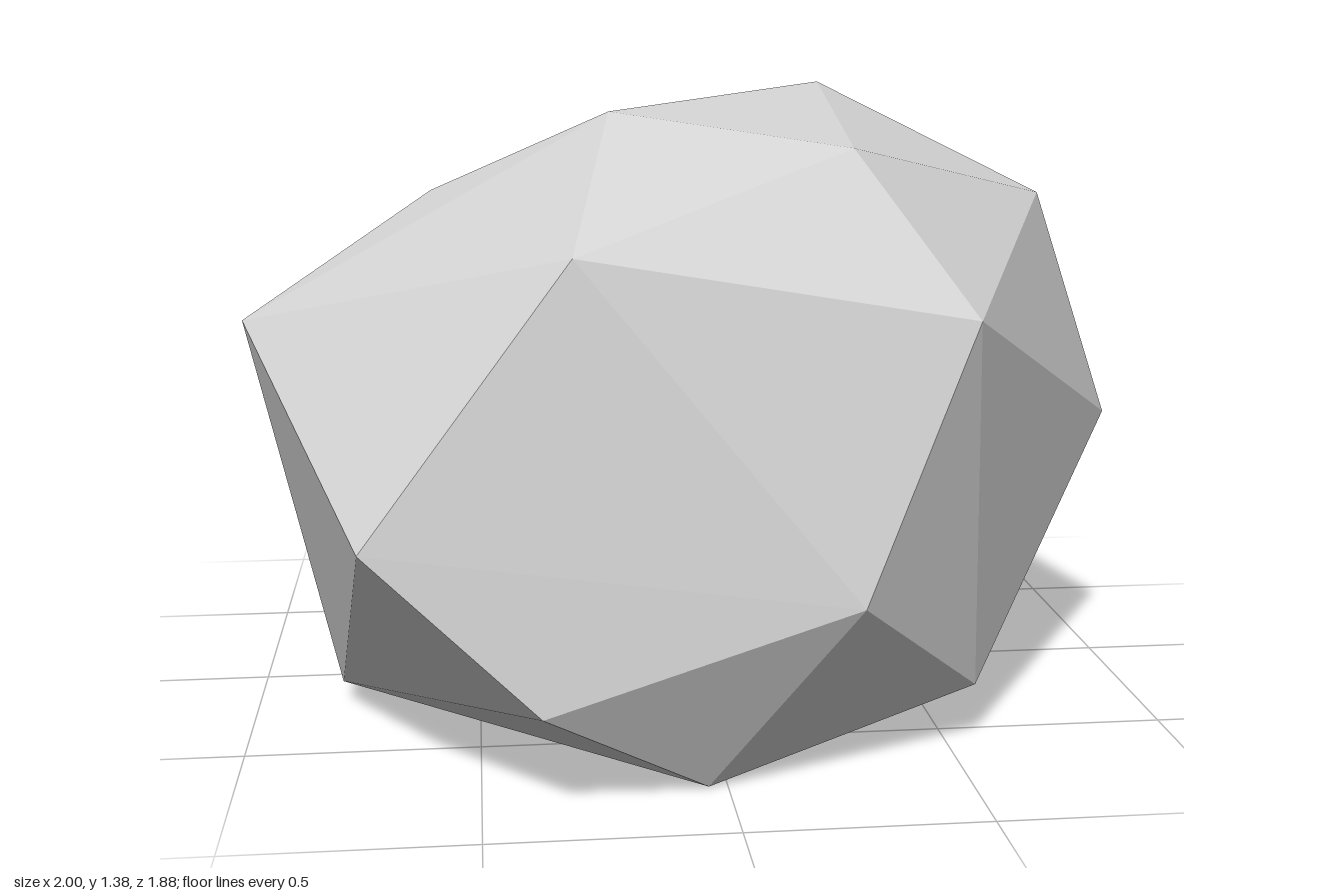
import * as THREE from 'three';
import { ConvexGeometry } from 'three/addons/geometries/ConvexGeometry.js';

// Corner points of the boulder, grouped from the crown down to the base
const crown = [
  [0.345, 1.38, -0.265], [-0.2, 1.34, 0.26], [0.28, 1.28, 0.565],
  [-0.59, 1.15, 0], [0.8, 1.14, 0.095], [-0.31, 1.1, 0.86], [0.14, 1.01, -0.68],
];
const waist = [
  [0.5, 0.955, 0.785], [-1, 0.89, 0.21], [0.82, 0.8, -0.48],
  [-0.305, 0.66, -0.64], [1, 0.605, 0.025], [-0.725, 0.55, 0.915],
  [-0.055, 0.475, -0.94], [0.25, 0.415, 0.925], [-0.82, 0.335, -0.315],
];
const base = [
  [0.8, 0.285, -0.585], [-0.38, 0.22, 0.94], [-0.31, 0.14, -0.64],
  [0.555, 0.137, 0.6], [-0.81, 0.05, 0.19], [0.59, 0.01, -0.14],
  [-0.04, 0.003, 0.775], [0.49, 0, -0.53], [-0.28, 0, -0.25],
];

export function createModel() {
  const group = new THREE.Group();
  group.name = 'rock';

  // ConvexGeometry gives every facet its own normal, so the stone stays faceted
  const stone = new THREE.MeshStandardMaterial({ color: 0xd4d4d4 });
  stone.name = 'light stone grey';

  // Faceted stone body wrapped around the corner points
  const points = [...crown, ...waist, ...base].map((p) => new THREE.Vector3(...p));
  const boulder = new THREE.Mesh(new ConvexGeometry(points), stone);
  boulder.name = 'boulder';
  group.add(boulder);

  return group;
}
